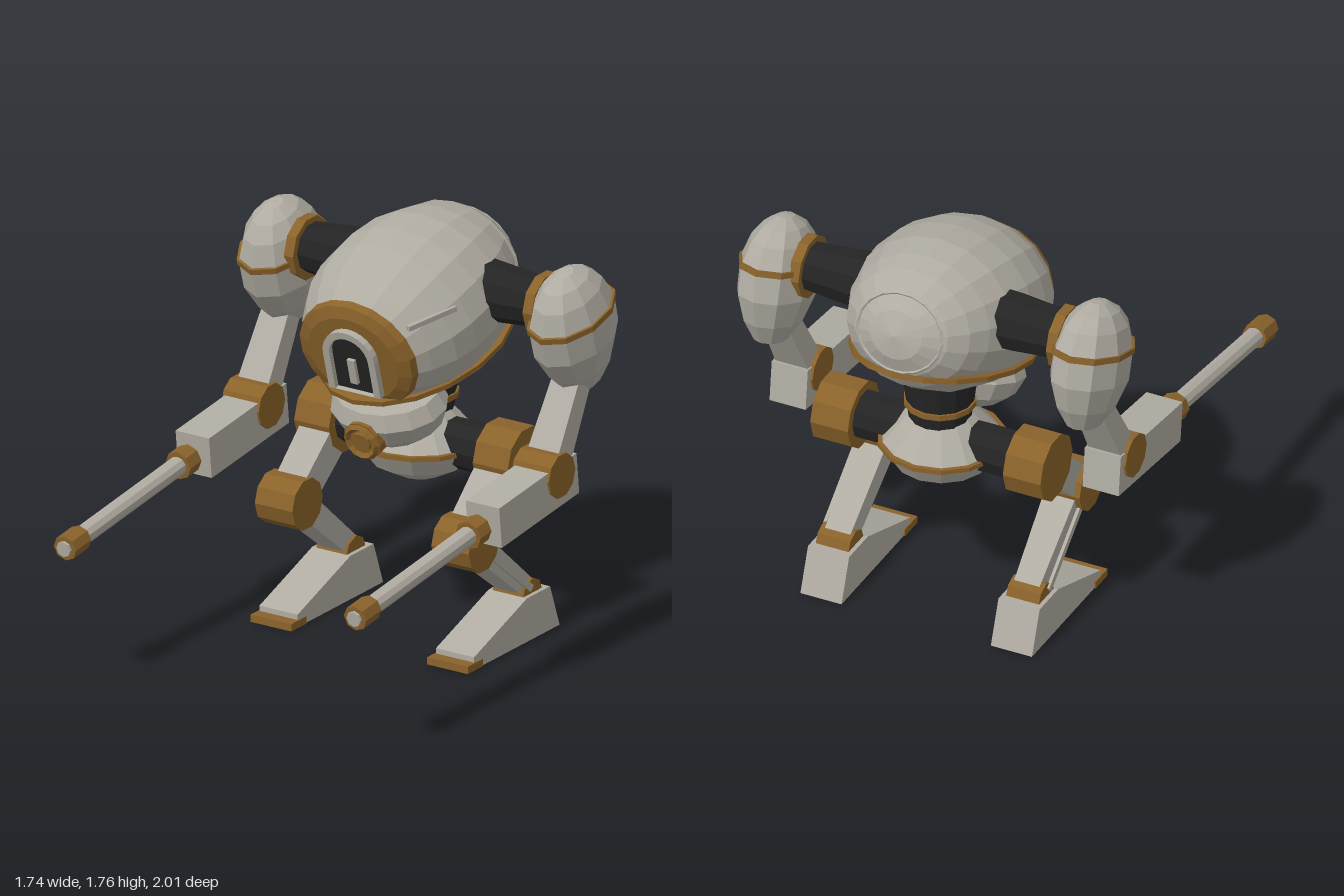
import * as THREE from 'three';

const paint = (name, color) => {
  const m = new THREE.MeshStandardMaterial({ color, flatShading: true });
  m.name = name;
  return m;
};

const TILT = 0.27; // hull, shoulder pods and chin all lean nose-down by this angle

export function createModel() {
  const model = new THREE.Group();
  model.name = 'walker';
  const grey = paint('armourGrey', 0xb0aca2);
  const brass = paint('brass', 0x8a622a);
  const black = paint('jointBlack', 0x242424);

  // --- helpers ---
  const add = (parent, name, geo, mat, x = 0, y = 0, z = 0, rx = 0) => {
    const m = new THREE.Mesh(geo, mat);
    m.name = name;
    m.position.set(x, y, z);
    m.rotation.x = rx;
    parent.add(m);
    return m;
  };
  const group = (parent, name, x, y, z, rx = 0) => {
    const g = new THREE.Group();
    g.name = name;
    g.position.set(x, y, z);
    g.rotation.x = rx;
    parent.add(g);
    return g;
  };
  // profile given as [height, radius]
  const lathe = (pts, seg) =>
    new THREE.LatheGeometry(pts.map(([h, r]) => new THREE.Vector2(r, h)), seg);
  const drumX = (r, len, seg, r2 = r) => // drum lying along x, r at the +x end
    new THREE.CylinderGeometry(r2, r, len, seg).rotateZ(Math.PI / 2);
  const drumZ = (r, z0, z1, seg) => // drum lying along z
    new THREE.CylinderGeometry(r, r, z1 - z0, seg).rotateX(Math.PI / 2).translate(0, 0, (z0 + z1) / 2);
  // tapered box between two [y, z] points
  const beam = (parent, name, mat, x, [y0, z0], [y1, z1], w, t, endScale = 1) => {
    const dy = y1 - y0, dz = z1 - z0, len = Math.hypot(dy, dz);
    const geo = new THREE.BoxGeometry(w, t, len);
    const p = geo.attributes.position;
    for (let i = 0; i < p.count; i++)
      if (p.getZ(i) > 0) p.setXY(i, p.getX(i) * endScale, p.getY(i) * endScale);
    return add(parent, name, geo, mat, x, (y0 + y1) / 2, (z0 + z1) / 2, Math.atan2(-dy, dz));
  };
  const arch = (w, bottom, spring) => {
    const s = new THREE.Shape();
    s.moveTo(-w, bottom);
    s.lineTo(w, bottom);
    s.lineTo(w, spring);
    s.absarc(0, spring, w, 0, Math.PI, false);
    s.lineTo(-w, bottom);
    return s;
  };
  const extrude = (shape, depth) =>
    new THREE.ExtrudeGeometry(shape, { depth, bevelEnabled: false, curveSegments: 6 });

  // --- hull: egg lying along z ---
  const hull = group(model, 'hull', 0, 1.4, -0.5, TILT);
  const egg = (pts, seg = 18) => lathe(pts, seg).rotateX(Math.PI / 2).scale(1.13, 1, 1);
  add(hull, 'hullShell', egg([[-0.5, 0], [-0.48, 0.1], [-0.43, 0.18], [-0.37, 0.235], [-0.27, 0.287],
    [-0.15, 0.328], [0, 0.348], [0.13, 0.346], [0.24, 0.326], [0.35, 0.28], [0.42, 0.235], [0.42, 0]]), grey);
  add(hull, 'rearCap', egg([[-0.51, 0], [-0.488, 0.105], [-0.437, 0.188], [-0.368, 0.249], [-0.36, 0.23]]), grey);
  add(hull, 'rearCapRing', new THREE.TorusGeometry(0.17, 0.008, 4, 18).scale(1.13, 1, 1), grey, 0, 0, -0.45);
  add(hull, 'hullBand', new THREE.CylinderGeometry(1, 1, 0.022, 18).scale(0.368, 1, 0.49), brass, 0, -0.18, 0.02);
  // front hatch with arched window
  add(hull, 'hatchRing', egg([[0.385, 0.235], [0.4, 0.25], [0.435, 0.243], [0.455, 0.195], [0.455, 0]]), brass);
  const frame = arch(0.127, -0.15, 0.02);
  frame.holes.push(arch(0.095, -0.15 + 0.001, 0.02));
  add(hull, 'windowFrame', extrude(frame, 0.04), grey, 0, 0, 0.445);
  add(hull, 'windowPane', extrude(arch(0.097, -0.149, 0.02), 0.009), black, 0, 0, 0.453);
  add(hull, 'windowSlit', new THREE.BoxGeometry(0.036, 0.115, 0.02), grey, 0, -0.052, 0.468);
  // slim rail on the left cheek
  const rail = add(hull, 'cheekRail', new THREE.BoxGeometry(0.02, 0.022, 0.25), grey, 0.305, 0.165, 0.285);
  rail.rotation.set(-0.14, -0.3, 0);

  // --- chin with round vent ---
  const chin = group(model, 'chin', 0, 0.985, -0.33, TILT);
  add(chin, 'chinShell', lathe([[-0.11, 0], [-0.11, 0.6], [-0.06, 0.86], [0.02, 1], [0.09, 0.88], [0.09, 0]], 14)
    .scale(0.257, 1, 0.22), grey);
  add(chin, 'ventDrum', drumZ(0.088, 0.1, 0.22, 12), brass, 0, -0.03);
  add(chin, 'ventRim', new THREE.TorusGeometry(0.07, 0.016, 4, 12), brass, 0, -0.03, 0.225);
  add(chin, 'ventCore', drumZ(0.045, 0.2, 0.235, 12), brass, 0, -0.03);

  // --- neck and pelvis ---
  add(model, 'neck', new THREE.CylinderGeometry(0.16, 0.125, 0.26, 14), black, 0, 0.99, -0.565);
  add(model, 'neckRing', new THREE.CylinderGeometry(0.152, 0.152, 0.025, 14), brass, 0, 0.98, -0.565);
  add(model, 'pelvis', lathe([[0.62, 0], [0.63, 0.09], [0.69, 0.205], [0.77, 0.255], [0.79, 0.25],
    [0.86, 0.19], [0.925, 0.13], [0.925, 0]], 14), grey, 0, 0, -0.55);
  add(model, 'pelvisBand', new THREE.CylinderGeometry(0.268, 0.268, 0.02, 14), brass, 0, 0.782, -0.55);
  add(model, 'hipAxle', drumX(0.105, 0.72, 10), black, 0, 0.795, -0.555);

  for (const s of [1, -1]) {
    const side = s > 0 ? 'left' : 'right';

    // --- arm ---
    const arm = group(model, side + 'Arm', 0, 0, 0);
    const ax = s * 0.715;
    const bar = add(arm, 'shoulderBar', drumX(0.105, 0.3, 10, 0.132), black, s * 0.43, 1.48, -0.595);
    bar.rotation.y = s > 0 ? 0 : Math.PI;
    add(arm, 'shoulderFlange', drumX(0.137, 0.045, 10), brass, s * 0.588, 1.475, -0.595);
    const pod = group(arm, 'shoulderPod', ax, 1.467, -0.595, TILT);
    add(pod, 'podShell', lathe([[-0.37, 0], [-0.34, 0.42], [-0.25, 0.75], [-0.13, 0.99], [0, 1], [0.1, 0.81],
      [0.16, 0.55], [0.195, 0.22], [0.2, 0]], 10).scale(0.155, 1, 0.225), grey);
    add(pod, 'podBand', new THREE.CylinderGeometry(1, 1, 0.025, 10).scale(0.162, 1, 0.234), brass);
    beam(arm, 'upperArm', grey, ax, [0.836, -0.4], [1.16, -0.59], 0.155, 0.11, 0.85);
    add(arm, 'elbow', drumX(0.097, 0.185, 10), brass, ax, 0.836, -0.39);
    beam(arm, 'forearm', grey, ax, [0.805, -0.52], [0.742, 0.045], 0.165, 0.18);

    // gun barrel
    const gun = group(arm, 'gun', ax, 0.738, 0.08, 0.12);
    add(gun, 'spindle', drumZ(0.02, -0.06, 0.02, 8), grey);
    add(gun, 'barrelCollar', drumZ(0.062, 0, 0.08, 8), brass);
    add(gun, 'barrel', drumZ(0.041, 0.05, 0.83, 10), grey);
    add(gun, 'muzzleCollar', drumZ(0.055, 0.8, 0.912, 8), brass);
    add(gun, 'muzzle', drumZ(0.034, 0.9, 0.925, 8), grey);

    // --- leg ---
    const leg = group(model, side + 'Leg', 0, 0, 0);
    const lx = s * 0.435;
    add(leg, 'hip', drumX(0.147, 0.172, 10), brass, s * 0.44, 0.79, -0.555);
    beam(leg, 'thigh', grey, s * 0.43, [0.79, -0.555], [0.515, -0.235], 0.155, 0.15, 0.9);
    add(leg, 'knee', drumX(0.112, 0.185, 10), brass, lx, 0.515, -0.235);
    beam(leg, 'shin', grey, s * 0.432, [0.515, -0.235], [0.21, -0.61], 0.145, 0.11, 0.8);
    beam(leg, 'shinStrut', grey, s * 0.513, [0.45, -0.31], [0.215, -0.6], 0.014, 0.03);
    add(leg, 'ankle', drumX(0.072, 0.15, 8), brass, lx, 0.18, -0.615);

    // wedge foot, outlined from the side and extruded across its width
    const sole = new THREE.Shape([[0.16, 0], [0.785, 0], [0.715, 0.19], [0.545, 0.19], [0.16, 0.055]]
      .map(([z, y]) => new THREE.Vector2(z, y)));
    add(leg, 'foot', extrude(sole, 0.188).translate(0, 0, -0.094).rotateY(Math.PI / 2), grey, lx);
    add(leg, 'toePlate', new THREE.BoxGeometry(0.2, 0.032, 0.11), brass, lx, 0.016, -0.16);
  }
  return model;
}
